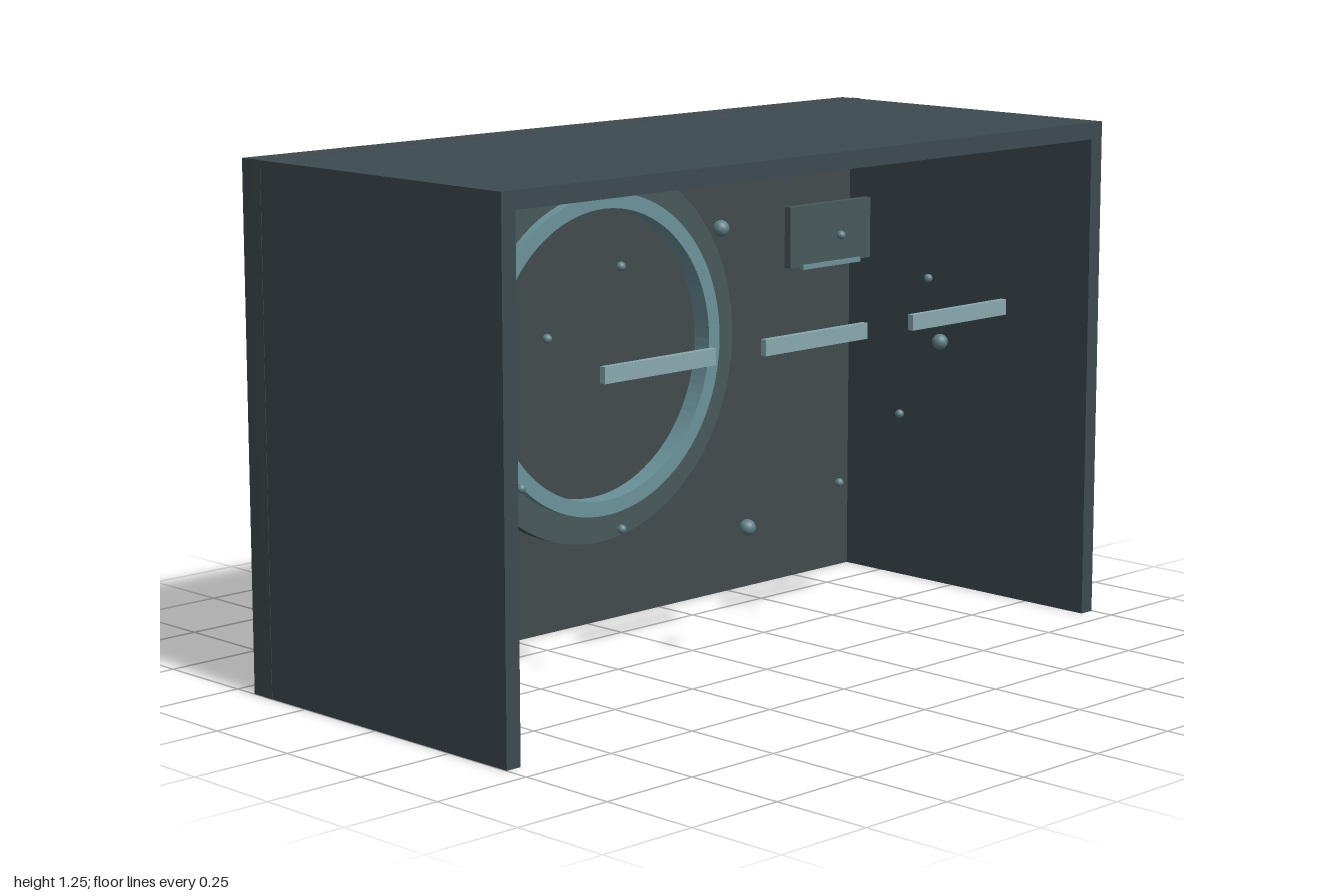
import * as THREE from 'three';

const mat = (color, extra = {}) => new THREE.MeshStandardMaterial({ color, ...extra });
const M = {
  shell: mat(0x3c4a51),
  back: mat(0x424a4d),
  trim: mat(0x48595b),
  ring: mat(0x6a929a),
  bar: mat(0x88a9af),
  bead: mat(0x5f8088),
};

export function createModel() {
  const root = new THREE.Group();
  const add = (name, geo, material, x, y, z) => {
    const mesh = new THREE.Mesh(geo, material);
    mesh.name = name;
    mesh.position.set(x, y, z);
    root.add(mesh);
    return mesh;
  };
  const box = (name, w, h, d, material, x, y, z) =>
    add(name, new THREE.BoxGeometry(w, h, d), material, x, y, z);

  // flat ring with depth, its back on z = 0
  const annulus = (outer, inner, depth) => {
    const s = new THREE.Shape().absarc(0, 0, outer, 0, Math.PI * 2);
    s.holes.push(new THREE.Path().absarc(0, 0, inner, 0, Math.PI * 2, true));
    return new THREE.ExtrudeGeometry(s, { depth, bevelEnabled: false, curveSegments: 48 });
  };

  // shell: recessed back wall, with side walls and roof running past it
  box('backWall', 2, 1.25, 0.03, M.back, 0, 0.625, -0.386);
  for (const s of [-1, 1])
    box('sideWall', 0.04, 1.21, 0.874, M.shell, s * 0.979, 0.605, 0);
  box('roof', 1.998, 0.042, 0.874, M.shell, 0, 1.228, 0);

  // round frame on the back wall
  const cy = 0.69;
  add('ringPlate', annulus(0.474, 0.39, 0.04), M.trim, 0, cy, -0.371);
  add('ring', annulus(0.402, 0.364, 0.06), M.ring, 0, cy, -0.365);
  const disc = add('ringCentre', new THREE.CylinderGeometry(0.37, 0.37, 0.015, 48), M.back, 0, cy, -0.364);
  disc.rotation.x = Math.PI / 2;

  // floating front bars
  for (const x of [-0.504, 0, 0.504])
    box('frontBar', 0.343, 0.038, 0.016, M.bar, x, 0.816, 0.4);

  // twelve beads on a waving ellipse, larger at the quarters
  for (let i = 0; i < 12; i++) {
    const a = (i * Math.PI) / 6;
    const r = i % 3 === 0 ? 0.02 : 0.011;
    add('bead', new THREE.SphereGeometry(r, 16, 12), M.bead,
      0.74 * Math.cos(a), cy + 0.354 * Math.sin(a), 0.14 + 0.045 * Math.sin(3 * a));
  }

  // ceiling rail with small hangers
  box('ceilingRail', 1.81, 0.02, 0.02, M.ring, 0, 1.188, 0.1);
  for (let i = -2; i <= 2; i++)
    add('railHanger', new THREE.CylinderGeometry(0.006, 0.006, 0.02, 10), M.trim, i * 0.375, 1.202, 0.1);

  // wall panel with lower edge strip and shallow lamp, on both sides
  for (const s of [-1, 1]) {
    box('panel', 0.3, 0.156, 0.02, M.trim, s * 0.69, 0.94, -0.2);
    box('panelStrip', 0.214, 0.012, 0.012, M.ring, s * 0.69, 0.861, -0.19);
    add('lamp', new THREE.CylinderGeometry(0.165, 0.145, 0.018, 32), M.trim, s * 0.71, 1.152, -0.15);
  }
  return root;
}
